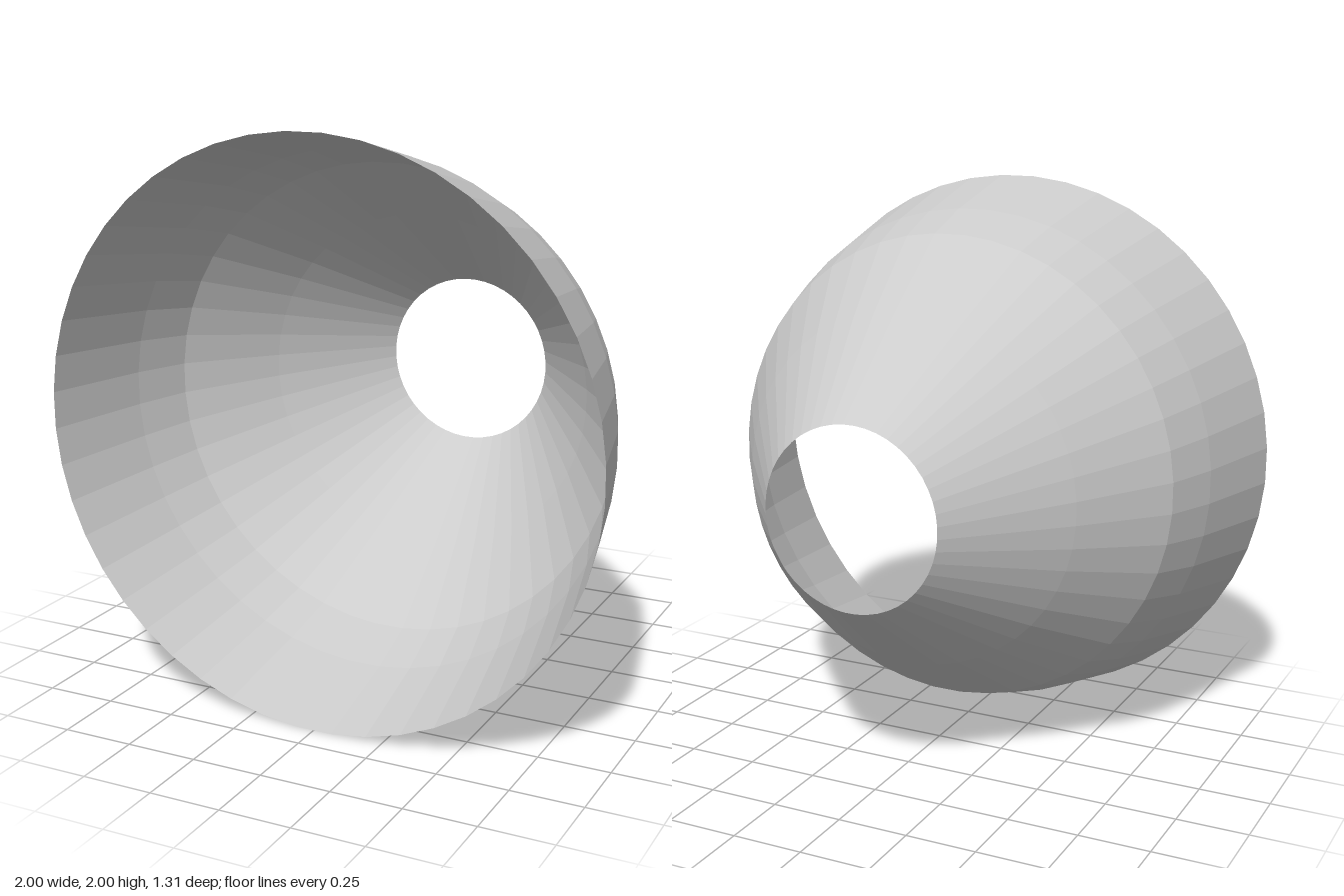
import * as THREE from 'three';

export function createModel() {
  const group = new THREE.Group();
  const sides = 48;

  // Profile of the open shade, [radius, depth], from back opening to front rim
  const profile = [
    [0.316, -0.652], [0.623, -0.25], [0.844, 0.07], [0.912, 0.27], [1.002, 0.652],
  ].map(([r, z]) => new THREE.Vector2(r, z));

  // Half a step of offset puts flat facets at the top, bottom and sides
  const geometry = new THREE.LatheGeometry(profile, sides, Math.PI / sides);
  geometry.rotateX(Math.PI / 2);

  const shade = new THREE.Mesh(geometry, new THREE.MeshStandardMaterial({
    color: 0xcccccc, flatShading: true, side: THREE.DoubleSide,
  }));
  shade.name = 'shade';
  // Very slight tilt: the back opening sits a little higher than the rim
  shade.rotation.x = 0.007;
  shade.position.y = 1.005;
  group.add(shade);
  return group;
}
